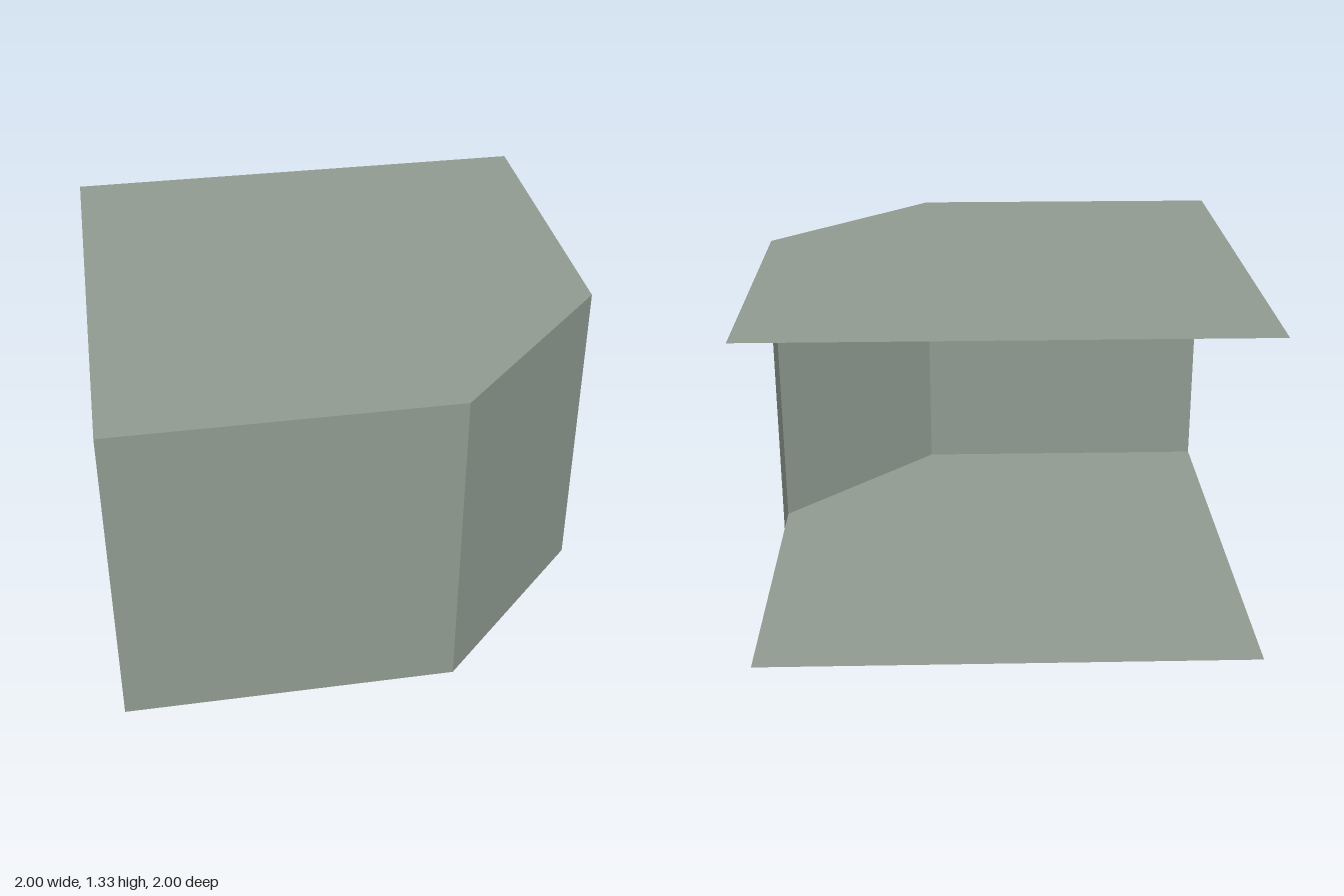
import * as THREE from 'three';

export function createModel() {
  const group = new THREE.Group();
  const H = 1.333, C = 0.333;
  const panelGrey = new THREE.MeshStandardMaterial({ color: 0x8f9a90, side: THREE.DoubleSide });
  panelGrey.name = 'panelGrey';

  const add = (name, geometry) => {
    const mesh = new THREE.Mesh(geometry, panelGrey);
    mesh.name = name;
    group.add(mesh);
    return mesh;
  };

  // Floor and roof: a square sheet with one cut corner, drawn in (x, -z)
  const outline = new THREE.Shape(
    [[-1, -1], [C, -1], [1, -C], [1, 1], [-1, 1]].map(([x, y]) => new THREE.Vector2(x, y))
  );
  const sheet = () => new THREE.ShapeGeometry(outline).rotateX(-Math.PI / 2);
  add('roof', sheet()).position.y = H;
  add('floor', sheet());

  // Upright wall between two [x, z] points; the far top corner may lean
  const wall = (name, a, b, bTop = b) => {
    const geometry = new THREE.BufferGeometry();
    geometry.setAttribute('position', new THREE.Float32BufferAttribute([
      a[0], 0, a[1], b[0], 0, b[1], bTop[0], H, bTop[1], a[0], H, a[1],
    ], 3));
    geometry.setIndex([0, 1, 2, 0, 2, 3]);
    geometry.computeVertexNormals();
    add(name, geometry);
  };
  wall('frontWall', [-1, 1], [C, 1]);
  wall('cornerWall', [C, 1], [1, C]);
  wall('sideReturn', [1, C], [1, 0.18], [1, 0.19]);

  return group;
}
